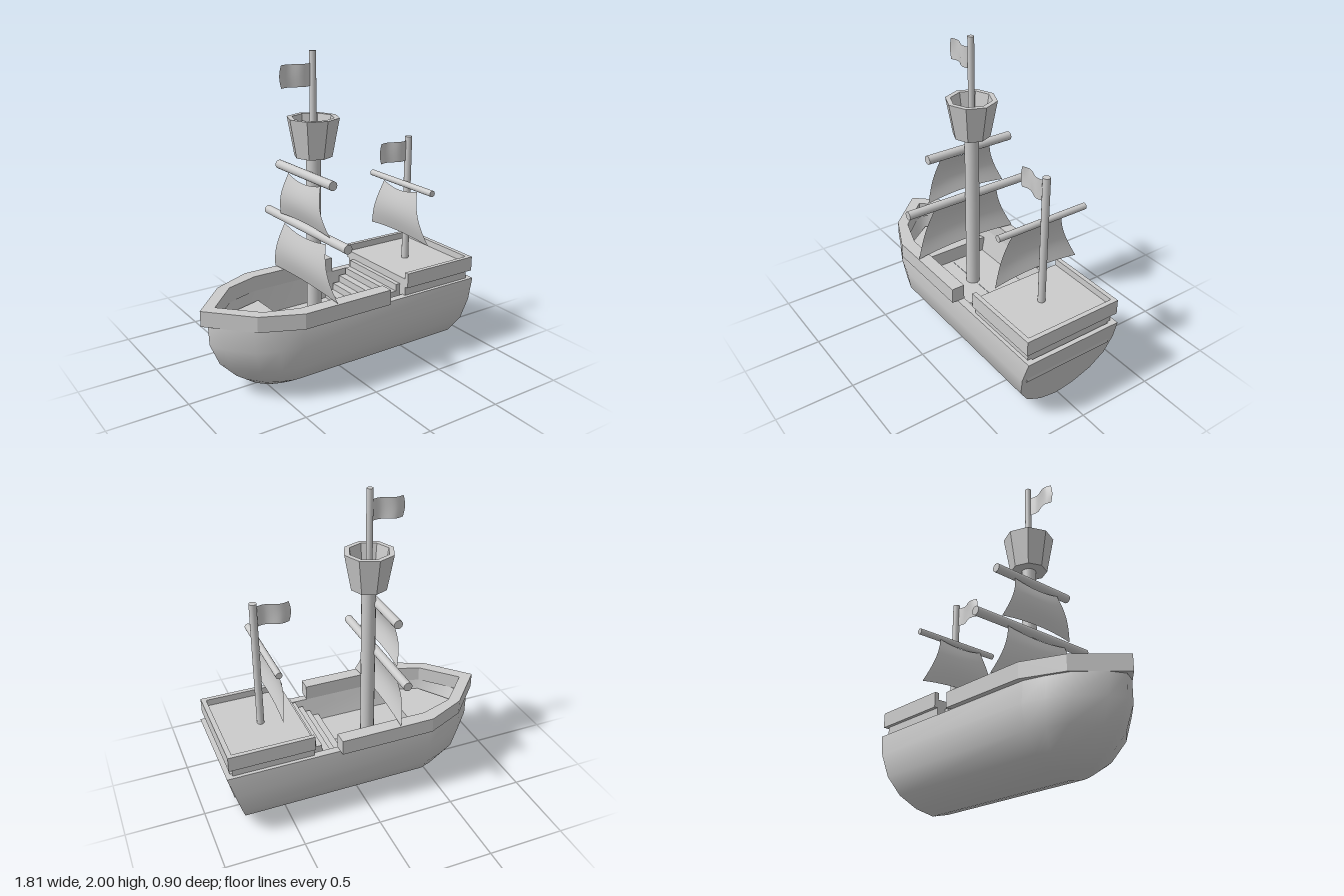
import * as THREE from 'three';
import { toCreasedNormals } from 'three/addons/utils/BufferGeometryUtils.js';

const grey = new THREE.MeshStandardMaterial({ color: 0xcccccc });
const cloth = new THREE.MeshStandardMaterial({ color: 0xcccccc, side: THREE.DoubleSide });

function add(parent, name, geometry, x = 0, y = 0, z = 0, material = grey) {
  const mesh = new THREE.Mesh(geometry, material);
  mesh.name = name;
  mesh.position.set(x, y, z);
  parent.add(mesh);
  return mesh;
}

// Box given by its x and y limits and half width in z
function box(parent, name, x0, x1, y0, y1, half) {
  add(parent, name, new THREE.BoxGeometry(x1 - x0, y1 - y0, half * 2), (x0 + x1) / 2, (y0 + y1) / 2);
}

// Upright pole
function pole(parent, name, x, y0, y1, r) {
  add(parent, name, new THREE.CylinderGeometry(r, r, y1 - y0, 16), x, (y0 + y1) / 2);
}

// Horizontal slab extruded downwards from a plan outline of [x, z] points
function slab(points, top, height) {
  const shape = new THREE.Shape(points.map(([x, z]) => new THREE.Vector2(x, z)));
  const geo = new THREE.ExtrudeGeometry(shape, { depth: height, bevelEnabled: false });
  return geo.rotateX(Math.PI / 2).translate(0, top, 0);
}

// Half outline mirrored across the centre line
function mirrored(half) {
  const other = half.filter(p => p[1] !== 0).map(([x, z]) => [x, -z]).reverse();
  return [...half, ...other];
}

// U-shaped rail between an outer and an inner half outline
const uRail = (outer, inner, top, height) =>
  slab([...mirrored(outer), ...mirrored(inner).reverse()], top, height);

// Skin stretched over rings with equal point counts, last ring closed by a cap
function loft(rings) {
  const n = rings[0].length, pos = rings.flat(2), index = [];
  for (let i = 0; i < rings.length - 1; i++) {
    for (let j = 0; j < n; j++) {
      const k = (j + 1) % n, a = i * n + j, b = i * n + k;
      index.push(a, b, b + n, a, b + n, a + n);
    }
  }
  const geo = new THREE.BufferGeometry();
  geo.setAttribute('position', new THREE.Float32BufferAttribute(pos, 3));
  geo.setIndex(index);
  return toCreasedNormals(geo, 1.0);
}

// Plan ring of the hull at one level: rounded bow, straight sides, flat stern
function hullRing([y, bow, half, stern = 0.76 + 0.29 * y]) {
  const beam = -0.42, at = f => beam + (bow - beam) * f;
  const side = [[at(0.9), 0.28], [at(0.6), 0.7], [at(0.3), 0.88], [beam, 1], [stern, 1]];
  const halfRing = [[bow, 0], ...side.map(([x, f]) => [x, f * half])];
  return mirrored(halfRing).map(([x, z]) => [x, y, z]);
}

// Thin sheet placed by a rule (u from -1 to 1, v from 0 at the top to 1)
function sheet(rule) {
  const geo = new THREE.PlaneGeometry(2, 1, 12, 12);
  const p = geo.attributes.position;
  for (let i = 0; i < p.count; i++) p.setXYZ(i, ...rule(p.getX(i), 0.5 - p.getY(i)));
  geo.computeVertexNormals();
  return geo;
}

// Sail bulging forward, widening downwards, with an arched foot
function sail(parent, name, x, top, bottom, halfTop, halfBottom) {
  add(parent, name, sheet((u, v) => [
    x - 0.03 * Math.sin(Math.PI * v) - 0.008 * (1 - u * u),
    top + (bottom - top) * v + (v * 0.045 - 0.025) * (1 - u * u),
    u * (halfTop + (halfBottom - halfTop) * Math.pow(v, 1.2)),
  ]), 0, 0, 0, cloth);
}

// Waving flag that trails towards the bow
function flag(parent, name, x, top, bottom, length) {
  add(parent, name, sheet((u, v) => {
    const t = (u + 1) / 2;
    return [
      x - length * t - 0.012 * t * Math.sin(Math.PI * v),
      top + (bottom - top) * v,
      0.015 * Math.sin(t * Math.PI * 2),
    ];
  }), 0, 0, 0, cloth);
}

function yard(parent, name, x, y, half, r) {
  add(parent, name, new THREE.CylinderGeometry(r, r, half * 2, 16).rotateX(Math.PI / 2), x, y, -0.015);
}

export function createModel() {
  const ship = new THREE.Group();
  ship.name = 'sailingShip';
  const body = new THREE.Group();
  body.name = 'shipBody';
  body.position.z = 0.015;
  ship.add(body);

  // Hull: outside from keel to rim, then inside down to the main deck
  add(body, 'hull', loft([
    [0, -0.42, 0.001], [0.03, -0.59, 0.125], [0.1, -0.69, 0.24], [0.21, -0.795, 0.315],
    [0.35, -0.855, 0.34], [0.483, -0.86, 0.328],
    [0.483, -0.79, 0.28, 0.87], [0.32, -0.73, 0.25, 0.8], [0.32, -0.43, 0.001, 0.8],
  ].map(hullRing)));

  // Raised deck in the bow
  add(body, 'foredeck', slab(mirrored([[-0.385, 0.265], [-0.6, 0.2], [-0.74, 0]]), 0.42, 0.1));

  // Bulwark around the bow and waist
  add(body, 'bowRail', uRail(
    [[0.19, 0.365], [-0.42, 0.365], [-0.67, 0.252], [-0.905, 0]],
    [[0.19, 0.28], [-0.4, 0.28], [-0.61, 0.21], [-0.81, 0]], 0.58, 0.097));

  // Stairs up to the quarterdeck
  [0.12, 0.18, 0.23, 0.28, 0.32].forEach((x, i) =>
    box(body, 'stairStep', x, 0.36, 0.31, 0.365 + i * 0.045, 0.25));

  // Quarterdeck with a rail open towards the stairs
  box(body, 'quarterdeckBase', 0.35, 0.86, 0.32, 0.545, 0.305);
  box(body, 'quarterdeckFloor', 0.35, 0.87, 0.54, 0.592, 0.31);
  add(body, 'quarterdeckRail', uRail(
    [[0.35, 0.328], [0.885, 0.328]], [[0.35, 0.3], [0.855, 0.3]], 0.635, 0.095));

  // Main mast with its topmast
  pole(body, 'mainMast', -0.13, 0.31, 1.4, 0.045);
  pole(body, 'topMast', -0.13, 1.39, 2.0, 0.02);

  // Eight-sided lookout tub, hollow at the top
  const tub = [[0, 1.385], [0.115, 1.385], [0.158, 1.617], [0.126, 1.617], [0.095, 1.43], [0, 1.43]];
  const tubGeo = new THREE.LatheGeometry(tub.map(p => new THREE.Vector2(...p)), 8);
  add(body, 'lookoutTub', toCreasedNormals(tubGeo, 0.3), -0.13);

  // Main yards and sails
  yard(body, 'upperYard', -0.18, 1.275, 0.3, 0.028);
  yard(body, 'lowerYard', -0.18, 0.94, 0.452, 0.028);
  sail(body, 'upperSail', -0.197, 1.25, 0.965, 0.18, 0.28);
  sail(body, 'lowerSail', -0.197, 0.915, 0.585, 0.235, 0.365);
  flag(body, 'mainFlag', -0.145, 1.93, 1.8, 0.195);

  // Mizzen mast, yard, sail and flag
  pole(body, 'mizzenMast', 0.59, 0.58, 1.415, 0.023);
  yard(body, 'mizzenYard', 0.552, 1.11, 0.308, 0.02);
  sail(body, 'mizzenSail', 0.533, 1.095, 0.77, 0.17, 0.295);
  flag(body, 'mizzenFlag', 0.575, 1.39, 1.26, 0.2);

  return ship;
}
